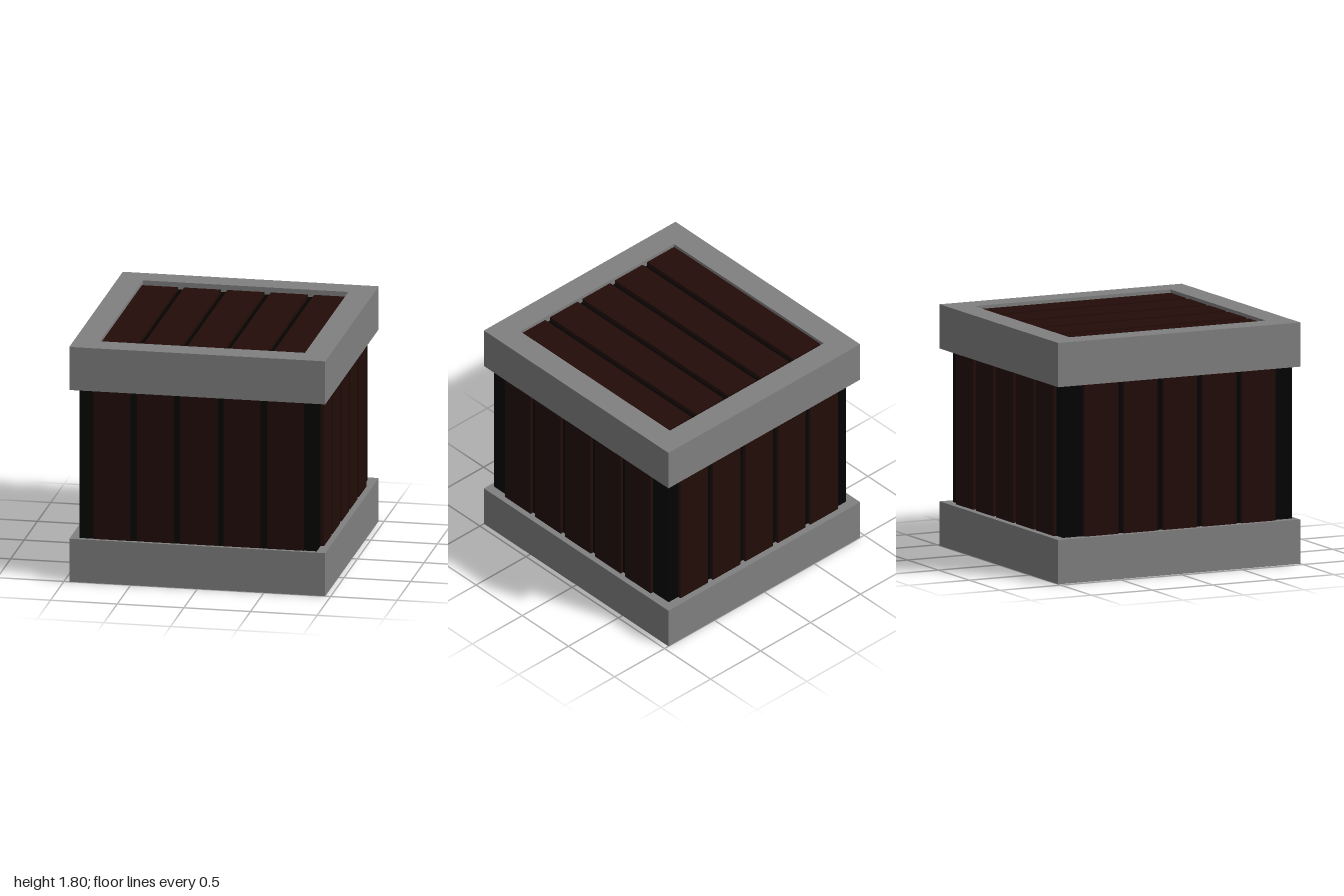
import * as THREE from 'three';

const grey = new THREE.MeshStandardMaterial({ color: 0x808080, flatShading: true });
const brown = new THREE.MeshStandardMaterial({ color: 0x220c08, flatShading: true });
const dark = new THREE.MeshStandardMaterial({ color: 0x040302, flatShading: true });

const PITCH = 0.325, PLANK = 0.278, COUNT = 5;

// Box given by its minimum and maximum corners
function box(name, material, [x0, y0, z0], [x1, y1, z1]) {
  const mesh = new THREE.Mesh(new THREE.BoxGeometry(x1 - x0, y1 - y0, z1 - z0), material);
  mesh.position.set((x0 + x1) / 2, (y0 + y1) / 2, (z0 + z1) / 2);
  mesh.name = name;
  return mesh;
}

// Row of evenly spaced planks; make(a, b) returns the corners for the span a..b
function plankRow(name, centre, make) {
  const row = new THREE.Group();
  row.name = name;
  for (let i = 0; i < COUNT; i++) {
    const c = centre + (i - (COUNT - 1) / 2) * PITCH;
    row.add(box('plank', brown, ...make(c - PLANK / 2, c + PLANK / 2)));
  }
  return row;
}

// Corner points of a rectangle centred on the origin, counter-clockwise
function rectangle(x, y) {
  return [[-x, -y], [x, -y], [x, y], [-x, y]].map(p => new THREE.Vector2(...p));
}

export function createModel() {
  const crate = new THREE.Group();
  crate.name = 'crate';

  // Solid base
  crate.add(box('base', grey, [-0.96, 0, -1], [0.96, 0.33, 1]));

  // Top frame with a rectangular opening
  const outline = new THREE.Shape(rectangle(0.96, 1));
  outline.holes.push(new THREE.Path(rectangle(0.77, 0.81).reverse()));
  const frameGeometry = new THREE.ExtrudeGeometry(outline, { depth: 0.33, bevelEnabled: false });
  frameGeometry.rotateX(-Math.PI / 2);
  const frame = new THREE.Mesh(frameGeometry, grey);
  frame.position.y = 1.47;
  frame.name = 'topFrame';
  crate.add(frame);

  // Dark inner box seen between the planks
  crate.add(box('innerBox', dark, [-0.89, 0.2, -0.925], [0.89, 1.745, 0.965]));

  // Upright planks on the four walls
  crate.add(plankRow('frontPlanks', 0.005, (a, b) => [[a, 0.25, 0.93], [b, 1.6, 0.97]]));
  crate.add(plankRow('backPlanks', 0.005, (a, b) => [[a, 0.25, -0.95], [b, 1.6, -0.9]]));
  crate.add(plankRow('leftPlanks', 0.03, (a, b) => [[0.86, 0.25, a], [0.915, 1.6, b]]));
  crate.add(plankRow('rightPlanks', 0.03, (a, b) => [[-0.915, 0.25, a], [-0.86, 1.6, b]]));

  // Lid planks, slightly below the rim
  crate.add(plankRow('lidPlanks', 0.01, (a, b) => [[a, 1.7, -0.77], [b, 1.775, 0.83]]));

  return crate;
}
